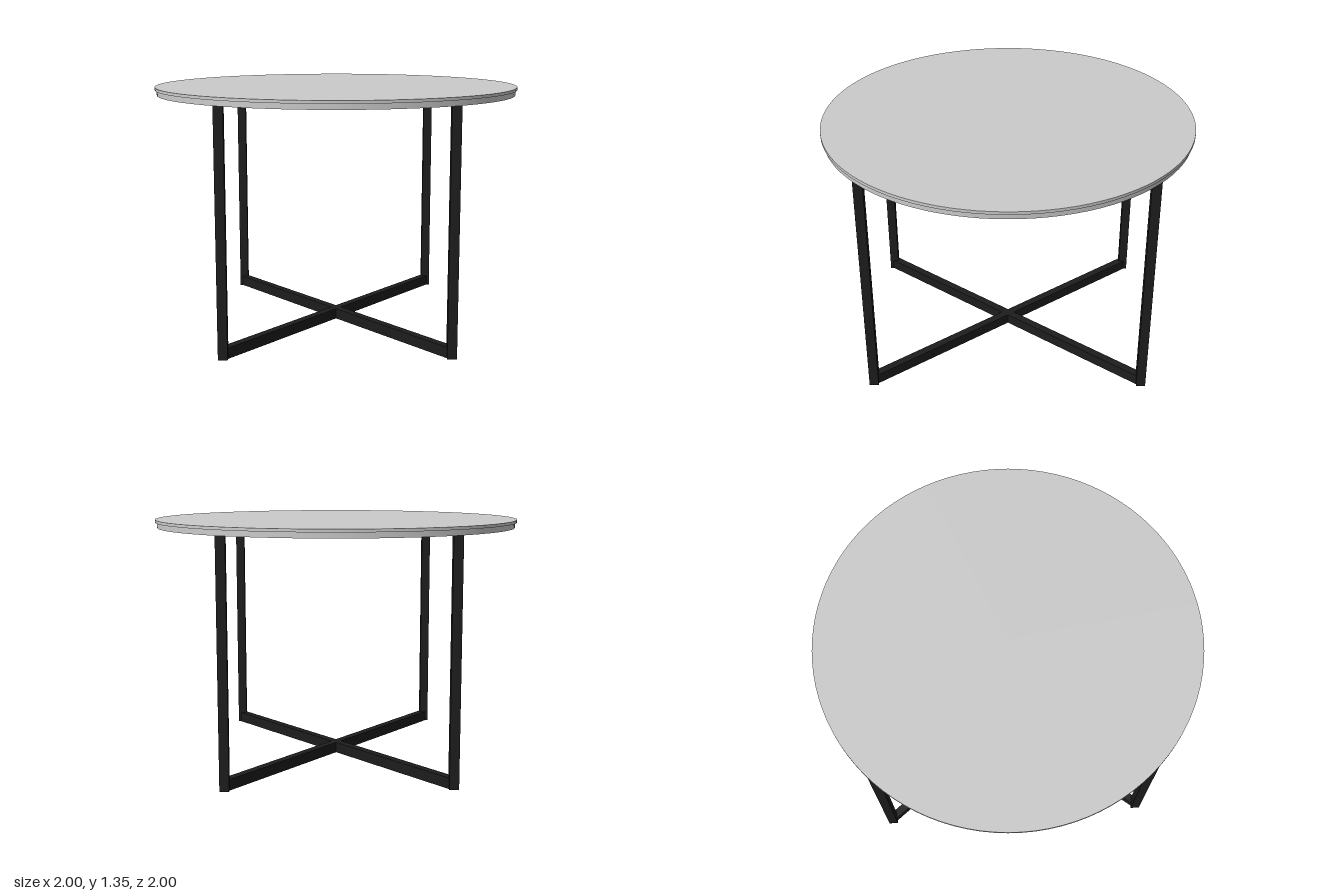
import * as THREE from 'three';

export function createModel() {
  const table = new THREE.Group();
  table.name = 'roundTable';
  const topMat = new THREE.MeshStandardMaterial({ color: 0xcccccc });
  const frameMat = new THREE.MeshStandardMaterial({ color: 0x1c1d1c });

  const add = (name, geometry, material, x, y, z) => {
    const mesh = new THREE.Mesh(geometry, material);
    mesh.name = name;
    mesh.position.set(x, y, z);
    table.add(mesh);
    return mesh;
  };

  // Table top: a thin plate over a slightly smaller board
  const height = 1.345, plate = 0.016, under = 1.3;
  const board = height - plate - under;
  add('topPlate', new THREE.CylinderGeometry(1, 1, plate, 96), topMat, 0, height - plate / 2, 0);
  add('topBoard', new THREE.CylinderGeometry(0.99, 0.99, board, 96), topMat, 0, under + board / 2, 0);

  // Four square legs standing at the corners of a rectangle
  const legX = 0.586, legZ = 0.738, thick = 0.05;
  const legGeo = new THREE.BoxGeometry(thick, under, thick);
  for (const sx of [-1, 1]) {
    for (const sz of [-1, 1]) {
      const name = (sz > 0 ? 'front' : 'back') + (sx > 0 ? 'Left' : 'Right') + 'Leg';
      add(name, legGeo, frameMat, sx * legX, under / 2, sz * legZ);
    }
  }

  // Two floor rails crossing diagonally between opposite legs
  const railHeight = 0.058;
  const railGeo = new THREE.BoxGeometry(0.045, railHeight, 2 * Math.hypot(legX, legZ) - 0.01);
  for (const s of [-1, 1]) {
    const rail = add(s > 0 ? 'crossRailA' : 'crossRailB', railGeo, frameMat, 0, railHeight / 2, 0);
    rail.rotation.y = s * Math.atan2(legX, legZ);
  }
  return table;
}
